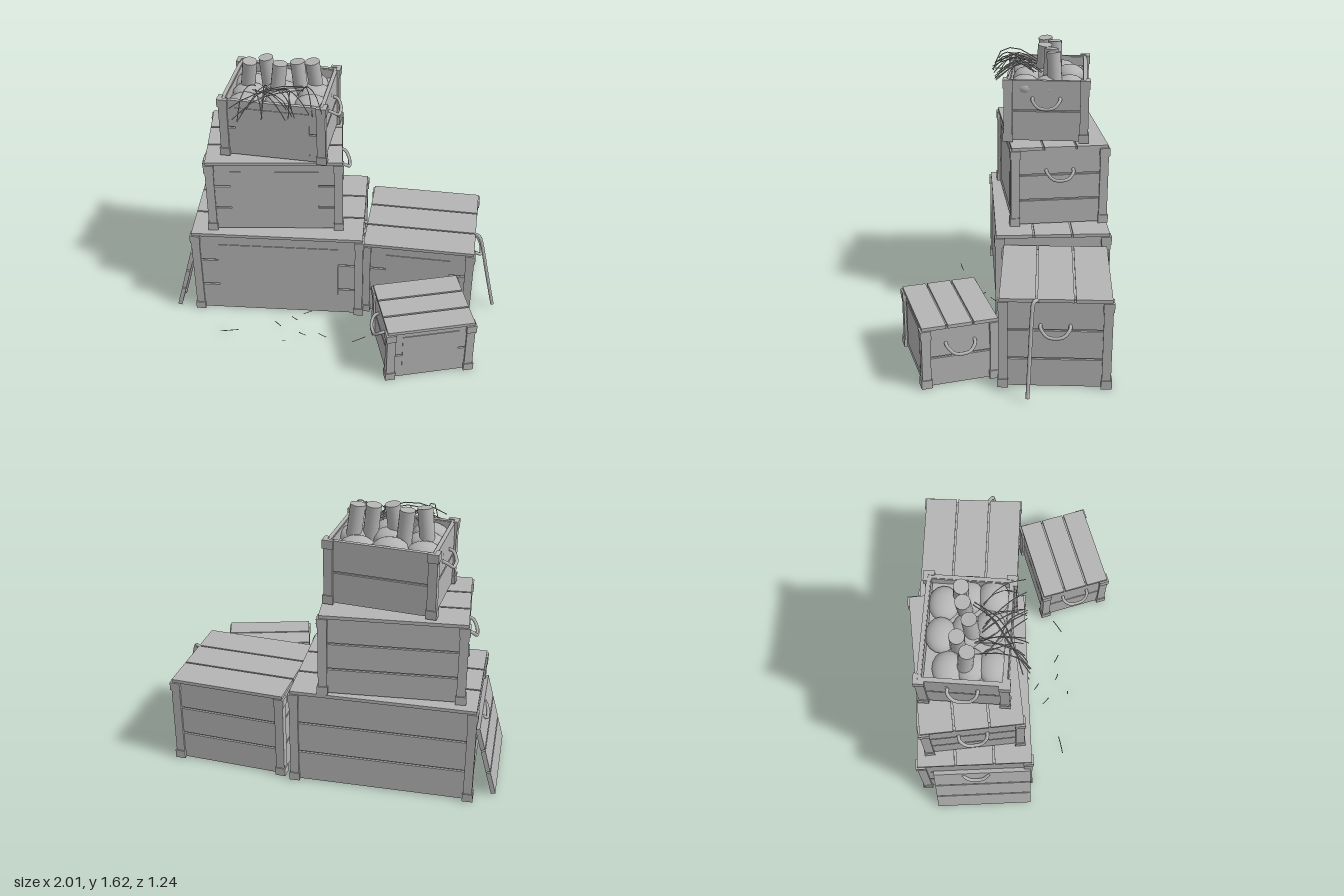
import * as THREE from 'three';

const grey = new THREE.MeshStandardMaterial({ color: 0xb4b4b4 });
grey.name = 'plain grey';

function add(parent, name, geometry, x = 0, y = 0, z = 0) {
  const mesh = new THREE.Mesh(geometry, grey);
  mesh.name = name;
  mesh.position.set(x, y, z);
  parent.add(mesh);
  return mesh;
}

const box = (parent, name, w, h, d, x, y, z) =>
  add(parent, name, new THREE.BoxGeometry(w, h, d), x, y, z);

function tube(parent, name, points, radius, sides = 8, segments = 16) {
  const curve = new THREE.CatmullRomCurve3(points.map(p => new THREE.Vector3(...p)));
  return add(parent, name, new THREE.TubeGeometry(curve, segments, radius, sides));
}

// Seeded numbers in the range -1..1
let seed = 7;
function rnd() {
  seed = (seed * 16807) % 2147483647;
  return (seed / 2147483647) * 2 - 1;
}

// L-shaped iron, its outer corner at the origin and its legs along -x and -z
function angleIron(leg, thick, height) {
  const s = new THREE.Shape();
  s.moveTo(0, 0);
  s.lineTo(0, leg);
  s.lineTo(-thick, leg);
  s.lineTo(-thick, thick);
  s.lineTo(-leg, thick);
  s.lineTo(-leg, 0);
  s.closePath();
  const g = new THREE.ExtrudeGeometry(s, { depth: height, bevelEnabled: false });
  return g.rotateX(-Math.PI / 2);
}

// Three planks on two battens, centred on its underside
function makeLid(w, d, thick) {
  const lid = new THREE.Group();
  lid.name = 'lid';
  const gap = 0.01, bw = (d - 2 * gap) / 3;
  for (let i = 0; i < 3; i++) {
    box(lid, 'lidPlank', w, thick, bw, 0, thick / 2, (i - 1) * (bw + gap));
  }
  for (const s of [-1, 1]) {
    box(lid, 'lidBatten', 0.04, 0.014, d - 0.1, s * (w / 2 - 0.08), -0.003, 0);
  }
  box(lid, 'lidBacking', w - 0.06, 0.008, d - 0.06, 0, 0.004, 0);
  return lid;
}

// Plank crate with iron corners and end handles; w and d include the corner caps
function makeCrate({ name, w, h, d, x, y, z, turn, rows, open, inset }) {
  const crate = new THREE.Group();
  crate.name = name;
  crate.position.set(x, y, z);
  crate.rotation.y = turn;
  const bx = w / 2 - 0.018, bz = d / 2 - 0.018, t = 0.022, lidT = 0.02;
  const wallH = h - (open ? 0.006 : lidT) - 0.006, gap = 0.011;
  const rowH = (wallH - gap * (rows - 1)) / rows;

  // Walls: planks over a recessed lining
  for (let i = 0; i < rows; i++) {
    const py = 0.006 + rowH / 2 + i * (rowH + gap);
    for (const s of [-1, 1]) {
      box(crate, 'longPlank', 2 * bx, rowH, t, 0, py, s * (bz - t / 2));
      box(crate, 'endPlank', t, rowH, 2 * (bz - t), s * (bx - t / 2), py, 0);
    }
  }
  const liningY = 0.006 + wallH / 2;
  for (const s of [-1, 1]) {
    box(crate, 'longLining', 2 * bx - 0.024, wallH - 0.01, 0.014, 0, liningY, s * (bz - 0.019));
    box(crate, 'endLining', 0.014, wallH - 0.01, 2 * bz - 0.05, s * (bx - 0.019), liningY, 0);
  }
  box(crate, 'floor', 2 * bx - 0.01, 0.016, 2 * bz - 0.01, 0, 0.014, 0);

  // Plain plate over the front planks
  box(crate, 'frontPlate', w - 2 * inset, h * 0.74, 0.006, 0, h * 0.49, bz + 0.001);

  // Corner irons with thicker caps
  const post = angleIron(0.05, 0.018, h - 0.06);
  const cap = angleIron(0.06, 0.025, 0.05);
  for (let k = 0; k < 4; k++) {
    const sx = k === 0 || k === 3 ? 1 : -1;
    const sz = k < 2 ? -1 : 1;
    // Each quarter turn carries the iron to the next corner
    const angles = { '1,1': 0, '1,-1': Math.PI / 2, '-1,-1': Math.PI, '-1,1': -Math.PI / 2 };
    const a = angles[sx + ',' + sz];
    add(crate, 'cornerIron', post, sx * (w / 2 - 0.006), 0.02, sz * (d / 2 - 0.006)).rotation.y = a;
    for (const cy of [0, h - (open ? 0.05 : 0.068)]) {
      add(crate, 'cornerCap', cap, sx * w / 2, cy, sz * d / 2).rotation.y = a;
    }
  }

  // Drooping rope handle on each end
  for (const s of [-1, 1]) {
    const hy = h * 0.71;
    tube(crate, 'handle', [
      [s * (bx - 0.01), hy, -0.08], [s * (bx + 0.025), hy - 0.012, -0.078],
      [s * (bx + 0.05), hy - 0.045, -0.045], [s * (bx + 0.054), hy - 0.053, 0],
      [s * (bx + 0.05), hy - 0.045, 0.045], [s * (bx + 0.025), hy - 0.012, 0.078],
      [s * (bx - 0.01), hy, 0.08],
    ], 0.01, 8, 24);
  }
  if (!open) {
    const lid = makeLid(w - 0.02, d - 0.02, lidT);
    lid.position.y = h - lidT;
    crate.add(lid);
  }
  return crate;
}

export function createModel() {
  const model = new THREE.Group();
  model.name = 'crateStack';

  const crates = [
    { name: 'largeCrate', w: 1.06, h: 0.6, d: 0.69, x: -0.355, y: 0, z: -0.278, turn: 0, rows: 3, inset: 0.16 },
    { name: 'sideCrate', w: 0.69, h: 0.54, d: 0.625, x: 0.525, y: 0, z: -0.262, turn: -0.08, rows: 3, inset: 0.15 },
    { name: 'smallCrate', w: 0.535, h: 0.37, d: 0.445, x: 0.54, y: 0, z: 0.335, turn: 0.245, rows: 2, inset: 0.1 },
    { name: 'middleCrate', w: 0.82, h: 0.49, d: 0.59, x: -0.383, y: 0.603, z: -0.298, turn: 0.065, rows: 3, inset: 0.15 },
    { name: 'topCrate', w: 0.63, h: 0.375, d: 0.505, x: -0.34, y: 1.105, z: -0.275, turn: -0.11, rows: 2, open: true, inset: 0.1 },
  ];
  for (const c of crates) model.add(makeCrate(c));

  // Removed lid leaning on the large crate
  const lean = makeLid(0.58, 0.44, 0.026);
  lean.name = 'leaningLid';
  const pivot = new THREE.Group();
  pivot.name = 'leaningLidMount';
  lean.rotation.x = Math.PI / 2 - 0.26;
  pivot.rotation.y = -Math.PI / 2;
  pivot.position.set(-0.925, 0.218, -0.24);
  pivot.add(lean);
  model.add(pivot);

  // Crowbar leaning on the side crate
  tube(model, 'crowbar', [
    [0.83, 0.515, -0.15], [0.85, 0.535, -0.135], [0.875, 0.532, -0.115],
    [0.89, 0.49, -0.108], [0.94, 0.26, -0.094], [0.993, 0.02, -0.08],
  ], 0.011, 8, 30);

  // Packing lumps in the open crate
  const lumps = [[-0.53, -0.38], [-0.35, -0.41], [-0.17, -0.39], [-0.52, -0.26], [-0.33, -0.27],
    [-0.14, -0.26], [-0.53, -0.14], [-0.32, -0.15], [-0.15, -0.125]];
  const lumpGeo = new THREE.SphereGeometry(0.1, 16, 10);
  for (const [x, z] of lumps) {
    add(model, 'packingLump', lumpGeo, x, 1.415 + rnd() * 0.012, z).scale.set(1, 0.6, 0.85);
  }
  box(model, 'packingBed', 0.54, 0.02, 0.41, -0.34, 1.405, -0.275).rotation.y = -0.11;

  // Canisters standing in the packing: top centre and lean
  const canGeo = new THREE.CylinderGeometry(0.042, 0.042, 0.22, 16).translate(0, -0.11, 0);
  const cans = [[-0.51, -0.27, -0.12, 0.1], [-0.425, -0.32, 0.08, 0.02], [-0.335, -0.255, -0.12, -0.06],
    [-0.24, -0.285, 0.1, -0.04], [-0.155, -0.29, 0.12, 0.05]];
  for (const [x, z, lz, lx] of cans) {
    add(model, 'canister', canGeo, x, 1.615, z).rotation.set(lx, 0, lz);
  }

  // Loose straw arching over the front rim
  for (let i = 0; i < 18; i++) {
    const x0 = -0.33 + rnd() * 0.16, x1 = -0.34 + rnd() * 0.27, top = 1.52 + rnd() * 0.035;
    tube(model, 'straw', [
      [x0, 1.48, -0.2 + rnd() * 0.04],
      [x0 * 0.65 + x1 * 0.35, top, -0.11 + rnd() * 0.03],
      [x0 * 0.3 + x1 * 0.7, top - 0.015, -0.03 + rnd() * 0.03],
      [x1, 1.45 + rnd() * 0.05, 0.025 + rnd() * 0.03],
    ], 0.003, 4, 6);
  }

  // Straw scattered on the ground: two ends each
  const bits = [[-0.7, 0.27, -0.59, 0.25], [-0.37, 0.16, -0.33, 0.2], [-0.27, 0.11, -0.23, 0.14],
    [-0.2, 0.08, -0.15, 0.05], [-0.21, 0.25, -0.17, 0.27], [-0.09, 0.25, -0.04, 0.28],
    [0.12, 0.31, 0.2, 0.26], [-0.31, 0.325, -0.29, 0.325]];
  for (const [x0, z0, x1, z1] of bits) {
    tube(model, 'groundStraw', [[x0, 0.003, z0], [(x0 + x1) / 2, 0.004, (z0 + z1) / 2 + 0.002], [x1, 0.003, z1]], 0.003, 4, 3);
  }
  return model;
}
